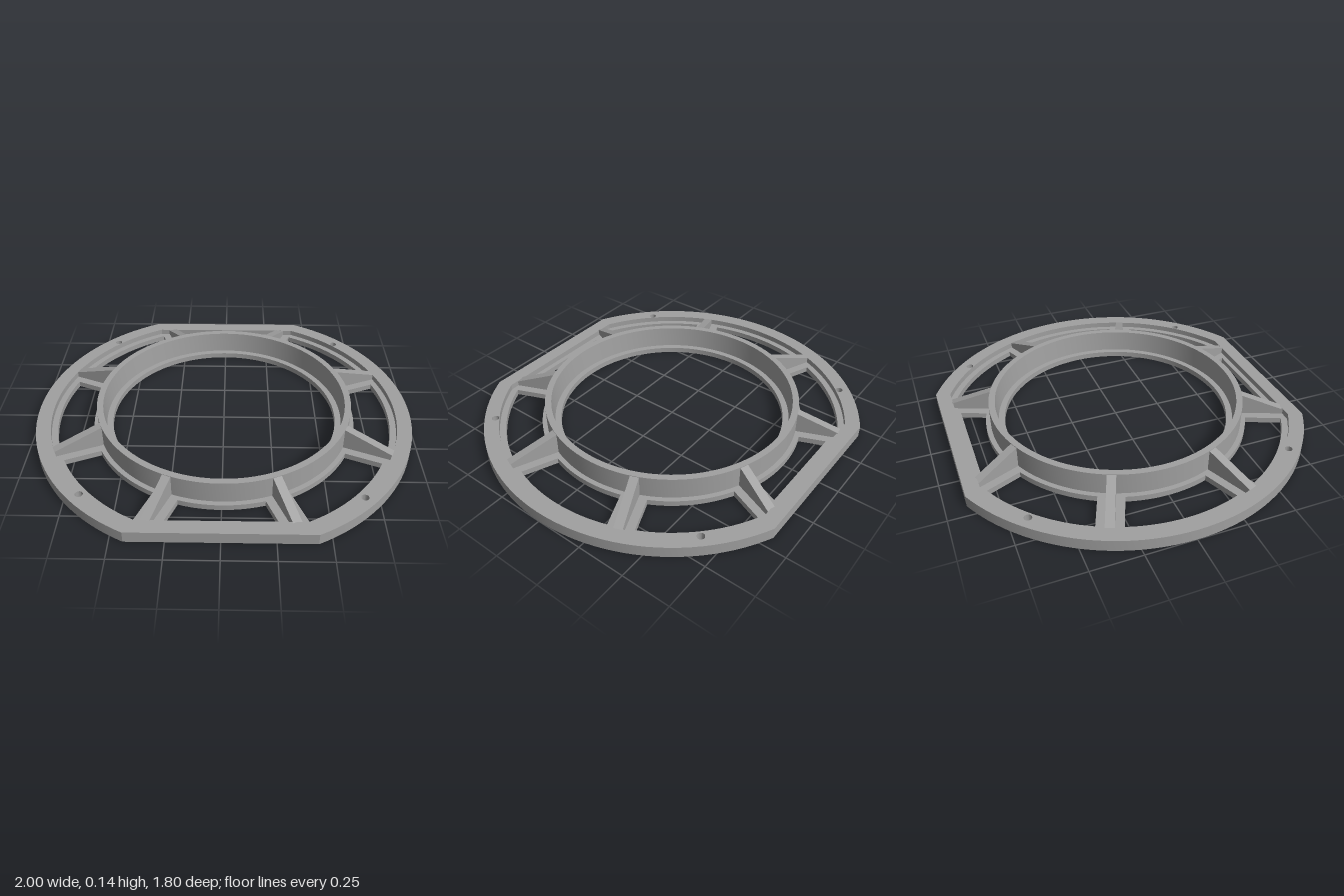
import * as THREE from 'three';
import { toCreasedNormals } from 'three/addons/utils/BufferGeometryUtils.js';

const FLOOR = 0.03, RIM = 0.06, TOP = 0.145;
const SPOKE_HALF = 0.065, RIB_WIDTH = 0.044;

// Radius at angle a of a circle cut flat at z = +-flat
const cutRadius = (a, r, flat) => Math.min(r, flat / Math.max(Math.abs(Math.sin(a)), 1e-6));

// Points along a cut circle between two angles
function arc(a0, a1, r, flat, n) {
  const angles = [];
  for (let i = 0; i <= n; i++) angles.push(a0 + (a1 - a0) * i / n);
  // keep the corners where the flats begin
  const c = Math.asin(Math.min(1, flat / r));
  for (const k of [c, Math.PI - c, Math.PI + c, 2 * Math.PI - c]) {
    if (k > Math.min(a0, a1) && k < Math.max(a0, a1)) angles.push(k);
  }
  angles.sort((p, q) => (a1 > a0 ? p - q : q - p));
  return angles.map(a => {
    const d = cutRadius(a, r, flat);
    return new THREE.Vector2(d * Math.cos(a), d * Math.sin(a));
  });
}

const outline = (r, flat) => arc(0, Math.PI * 2, r, flat, 128).slice(0, -1);

function circlePath(x, y, r) {
  const p = new THREE.Path();
  p.absarc(x, y, r, 0, Math.PI * 2, true);
  return p;
}

// Extrude a plan shape upward from the ground
function slab(shape, height) {
  const g = new THREE.ExtrudeGeometry(shape, { depth: height, bevelEnabled: false, curveSegments: 24 });
  g.rotateX(-Math.PI / 2);
  return toCreasedNormals(g, 0.3);
}

// Opening between two neighbouring spokes
function windowPath(a0, a1) {
  const R = 0.89, flat = 0.797, inner = 0.70;
  let s = a0, e = a1;
  for (let i = 0; i < 8; i++) {
    s = a0 + Math.asin(SPOKE_HALF / cutRadius(s, R, flat));
    e = a1 - Math.asin(SPOKE_HALF / cutRadius(e, R, flat));
  }
  const d = Math.asin(SPOKE_HALF / inner);
  return new THREE.Path([...arc(s, e, R, flat, 16), ...arc(a1 - d, a0 + d, inner, 9, 16)]);
}

export function createModel() {
  const group = new THREE.Group();
  const grey = new THREE.MeshStandardMaterial({ color: 0xa0a0a0 });
  grey.name = 'plain grey';
  const add = (geometry, name) => {
    const m = new THREE.Mesh(geometry, grey);
    m.name = name;
    group.add(m);
    return m;
  };

  // Outer rim with flats and four screw holes
  const rim = new THREE.Shape(outline(1, 0.9));
  rim.holes.push(new THREE.Path(outline(0.923, 0.825)));
  for (const x of [-0.667, 0.667]) {
    for (const y of [-0.667, 0.667]) rim.holes.push(circlePath(x, y, 0.019));
  }
  add(slab(rim, RIM), 'outerRim');

  // Thin floor with eight windows, leaving flat spokes and lips
  const floor = new THREE.Shape(outline(0.923, 0.825));
  floor.holes.push(new THREE.Path(arc(0, Math.PI * 2, 0.6, 9, 128).slice(0, -1)));
  for (let k = 0; k < 8; k++) {
    const a = Math.PI / 8 + k * Math.PI / 4;
    floor.holes.push(windowPath(a, a + Math.PI / 4));
  }
  add(slab(floor, FLOOR), 'spokedFloor');

  // Raised hub wall with a slightly tapered bore
  const profile = [[0.632, FLOOR], [0.675, FLOOR], [0.675, TOP], [0.642, TOP], [0.632, FLOOR]]
    .map(p => new THREE.Vector2(...p));
  add(toCreasedNormals(new THREE.LatheGeometry(profile, 128), 0.3), 'hubWall');

  // Sloping ribs bracing the hub against the rim
  for (let k = 0; k < 8; k++) {
    const a = Math.PI / 8 + k * Math.PI / 4;
    const end = cutRadius(a, 0.925, 0.825);
    const slope = (TOP - RIM) / (end - 0.67);
    const tip = end + 0.015;
    const side = new THREE.Shape([[0.655, 0.02], [tip, 0.02], [tip, RIM - slope * 0.015],
      [0.67, TOP - 0.001], [0.655, TOP - 0.001]].map(p => new THREE.Vector2(...p)));
    const g = new THREE.ExtrudeGeometry(side, { depth: RIB_WIDTH, bevelEnabled: false });
    g.translate(0, 0, -RIB_WIDTH / 2);
    add(g, 'rib').rotation.y = a;
  }
  return group;
}
